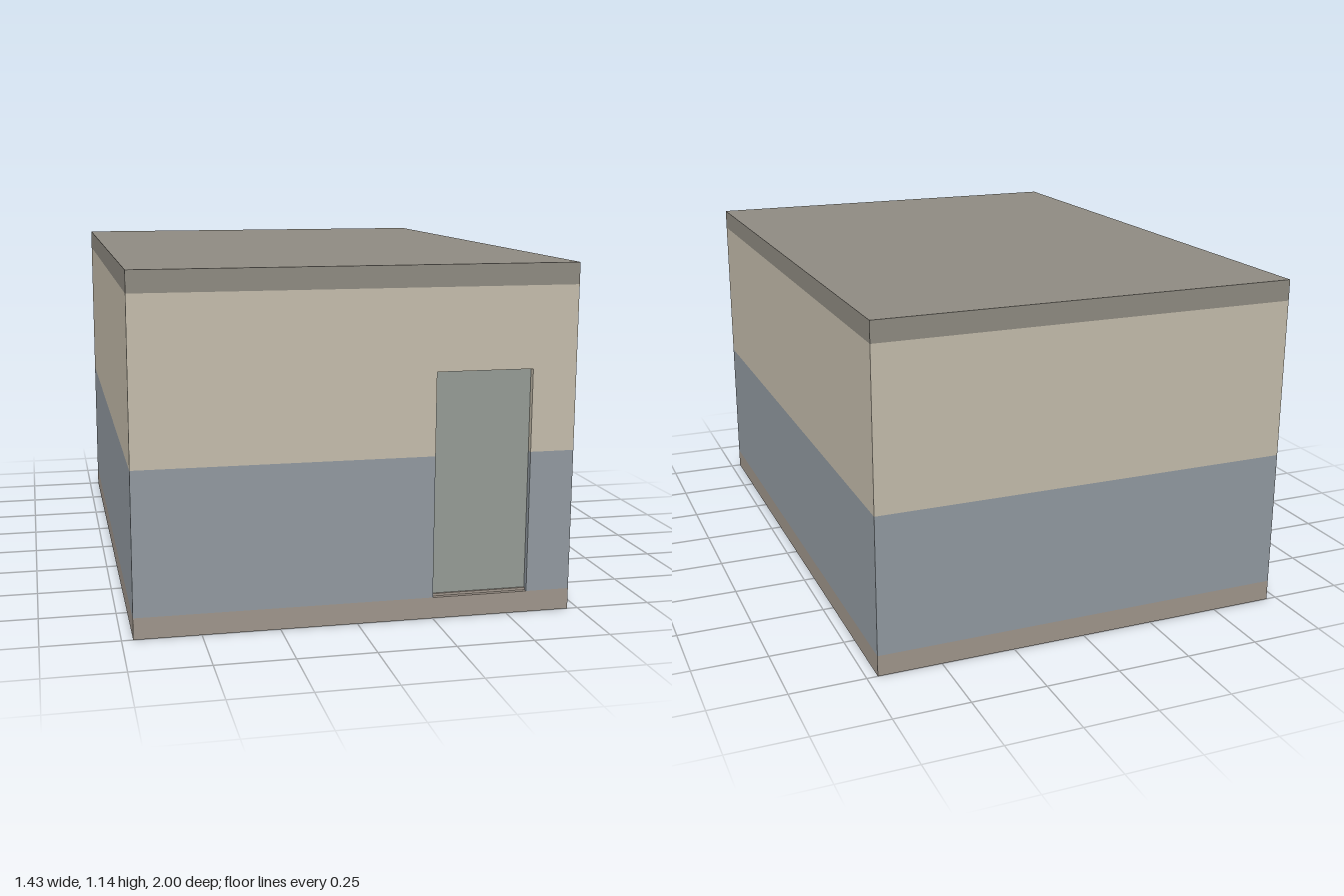
import * as THREE from 'three';

const W = 0.714, D = 1, T = 0.07;                 // half width, half depth, wall thickness
const Y = { floor: 0.07, split: 0.537, eave: 1.073, top: 1.143 };
const DOOR = { x0: 0.25, x1: 0.568, y0: 0.07, y1: 0.807, recess: 0.02 };

const paint = (color) => new THREE.MeshStandardMaterial({ color });
const floorMat = paint(0xa0968c), lowerMat = paint(0x929aa1), upperMat = paint(0xc5bdac);
const roofMat = paint(0x8f8b82), doorMat = paint(0x969c96);

// Box given by its minimum and maximum corners
function block(name, mat, x0, x1, y0, y1, z0, z1) {
  const mesh = new THREE.Mesh(new THREE.BoxGeometry(x1 - x0, y1 - y0, z1 - z0), mat);
  mesh.position.set((x0 + x1) / 2, (y0 + y1) / 2, (z0 + z1) / 2);
  mesh.name = name;
  return mesh;
}

// Front wall panel, extruded from an outline with the doorway cut out of it
function frontPanel(name, mat, points) {
  const shape = new THREE.Shape(points.map(([x, y]) => new THREE.Vector2(x, y)));
  const mesh = new THREE.Mesh(new THREE.ExtrudeGeometry(shape, { depth: T, bevelEnabled: false }), mat);
  mesh.position.z = D - T;
  mesh.name = name;
  return mesh;
}

// Back and side walls of one colour band
function wallBand(name, mat, y0, y1) {
  const band = new THREE.Group();
  band.name = name;
  band.add(block('backWall', mat, -W, W, y0, y1, -D, -D + T));
  for (const [side, x] of [['rightWall', -W], ['leftWall', W - T]]) {
    band.add(block(side, mat, x, x + T, y0, y1, -D + T, D - T));
  }
  return band;
}

export function createModel() {
  const model = new THREE.Group();
  model.name = 'building';
  const { x0, x1, y0, y1, recess } = DOOR;

  // Floor slab and flat roof
  model.add(block('floorSlab', floorMat, -W, W, 0, Y.floor, -D, D));
  model.add(block('roofSlab', roofMat, -W, W, Y.eave, Y.top, -D, D));

  // Two-tone walls, with the doorway in the front
  const lower = wallBand('lowerWalls', lowerMat, Y.floor, Y.split);
  lower.add(frontPanel('frontWallRight', lowerMat, [[-W, Y.floor], [x0, Y.floor], [x0, Y.split], [-W, Y.split]]));
  lower.add(frontPanel('frontWallLeft', lowerMat, [[x1, Y.floor], [W, Y.floor], [W, Y.split], [x1, Y.split]]));
  const upper = wallBand('upperWalls', upperMat, Y.split, Y.eave);
  upper.add(frontPanel('frontWall', upperMat, [
    [-W, Y.split], [x0, Y.split], [x0, y1], [x1, y1], [x1, Y.split], [W, Y.split], [W, Y.eave], [-W, Y.eave],
  ]));
  model.add(lower, upper);

  // Recessed door with a thin threshold
  const door = new THREE.Group();
  door.name = 'door';
  door.add(block('doorPanel', doorMat, x0, x1, y0, y1, D - T, D - recess));
  door.add(block('threshold', floorMat, x0, x1, y0, y0 + 0.008, D - recess, D - recess + 0.006));
  model.add(door);

  return model;
}
